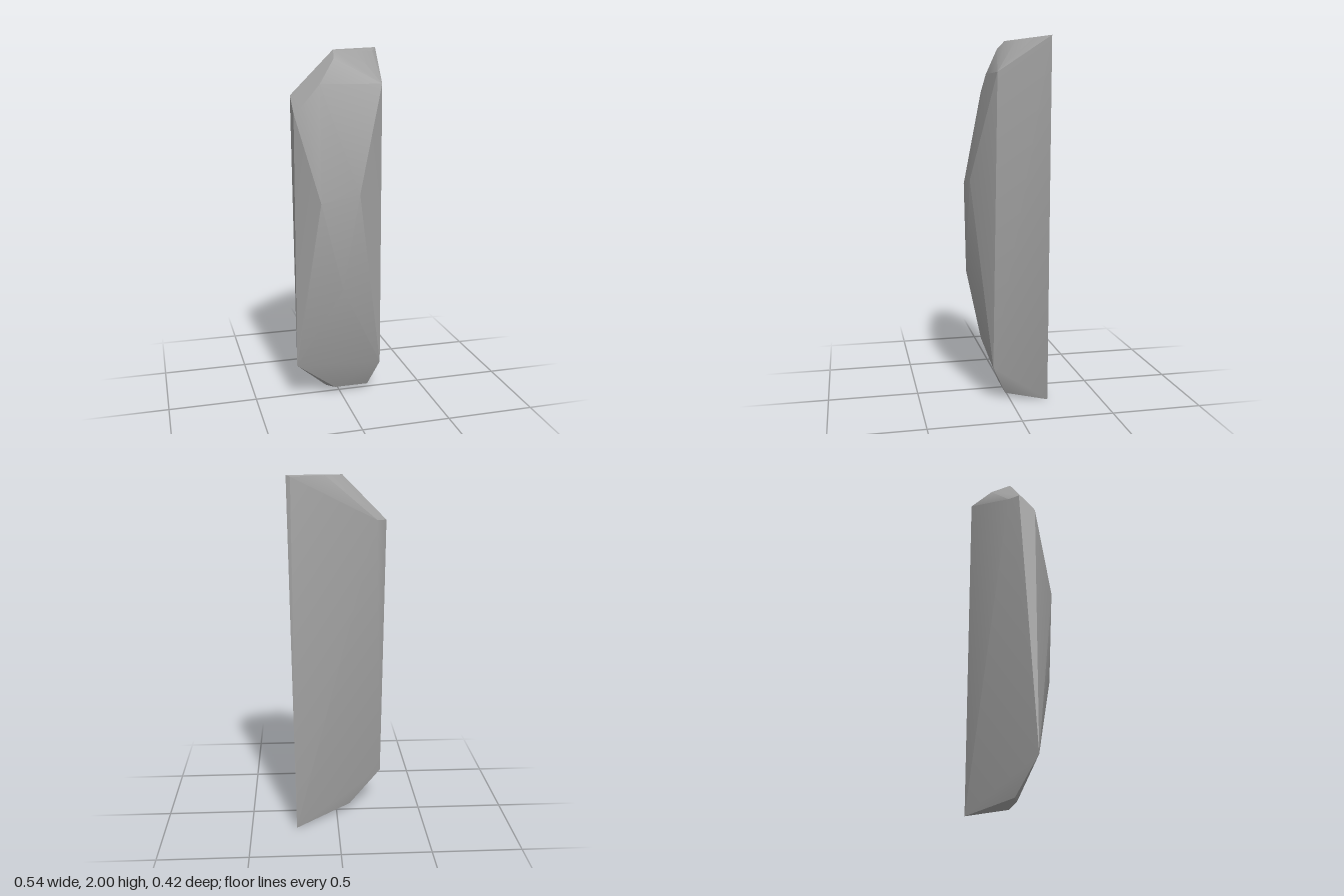
import * as THREE from 'three';
import { ConvexGeometry } from 'three/addons/geometries/ConvexGeometry.js';
import { toCreasedNormals } from 'three/addons/utils/BufferGeometryUtils.js';

// Corners of the stone, grouped by region
const corners = {
  backEdge: [[0.267, 2, -0.207], [0.245, 1.992, -0.211], [0.24, 0, -0.205]],
  topRim: [[-0.03, 1.99, -0.015], [0.1, 1.985, -0.05], [0.22, 1.98, -0.11], [0.065, 1.992, -0.115]],
  slantedCorner: [
    [-0.215, 1.755, -0.065], [-0.27, 1.75, -0.015], [-0.27, 1.66, 0.08],
    [-0.213, 1.713, 0.087], [-0.125, 1.812, 0.073], [-0.036, 1.945, 0.027],
  ],
  frontBulge: [[-0.15, 1.19, 0.2], [0.066, 1.23, 0.2], [-0.03, 0.7, 0.209]],
  sideEdge: [[0.222, 1.81, 0.075], [0.222, 0.2, 0.1]],
  base: [[-0.27, 0.22, 0.082], [-0.08, 0.04, 0], [-0.03, 0.03, 0.022], [0.17, 0.03, 0.022]],
};

export function createModel() {
  const group = new THREE.Group();
  group.name = 'standingStone';

  const greyStone = new THREE.MeshStandardMaterial({ color: 0xa0a0a0 });
  greyStone.name = 'greyStone';

  // Chiselled hull, soft across shallow facets and crisp on steep ones
  const points = Object.values(corners).flat().map((p) => new THREE.Vector3(...p));
  const hull = toCreasedNormals(new ConvexGeometry(points), THREE.MathUtils.degToRad(30));
  const stone = new THREE.Mesh(hull, greyStone);
  stone.name = 'stone';
  group.add(stone);

  return group;
}
